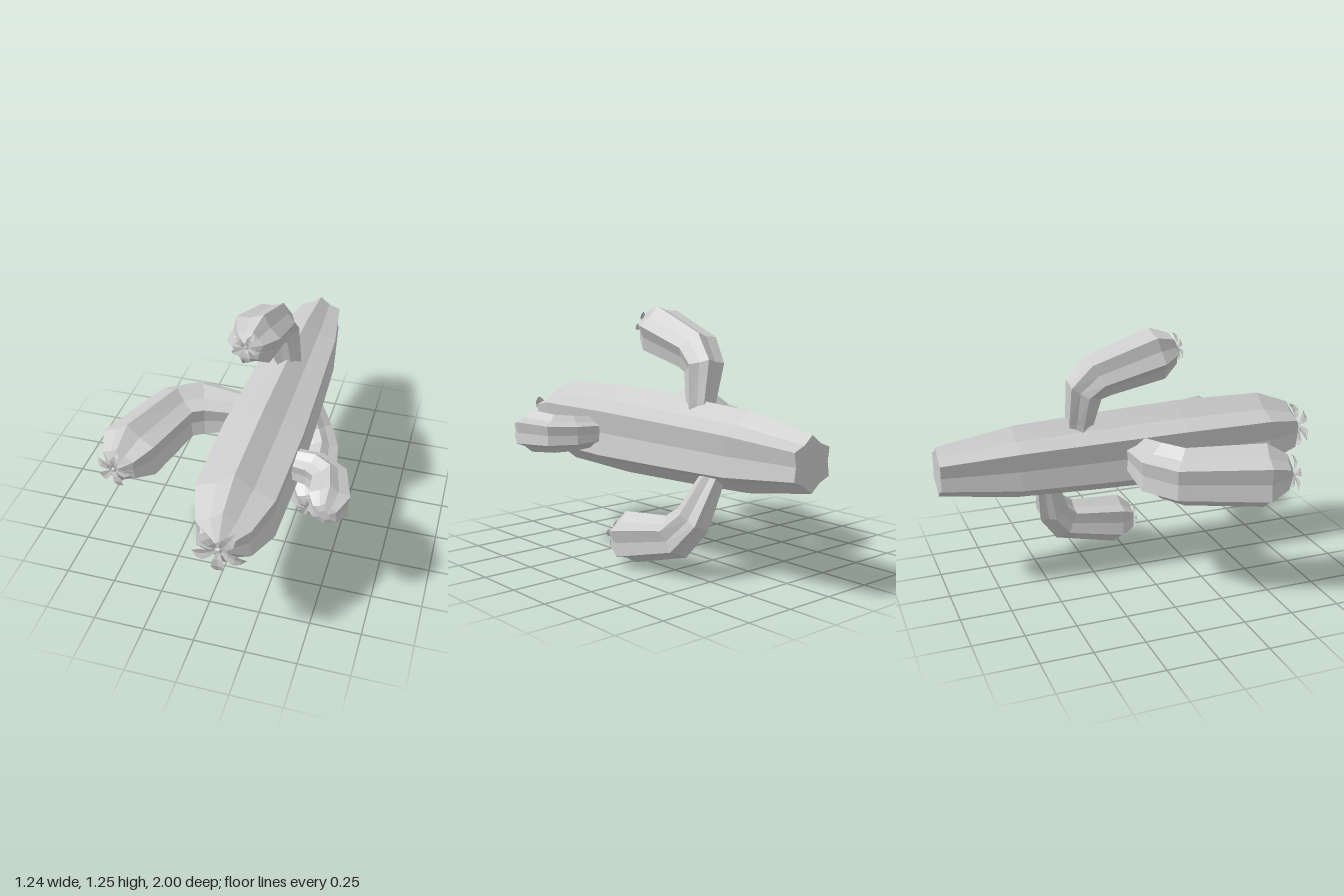
import * as THREE from 'three';

const V = (x, y, z) => new THREE.Vector3(x, y, z);
const SIDES = 12;      // six ridges and six valleys
const VALLEY = 0.79;   // valley radius relative to ridge radius

const skin = new THREE.MeshStandardMaterial({ color: 0xcccccc, flatShading: true });
const petalSkin = new THREE.MeshStandardMaterial({ color: 0xcccccc, flatShading: true, side: THREE.DoubleSide });

// Direction of the path at ring i, averaged from its neighbouring segments
function tangentAt(points, i) {
  const t = V(0, 0, 0);
  if (i > 0) t.add(points[i].clone().sub(points[i - 1]).normalize());
  if (i < points.length - 1) t.add(points[i + 1].clone().sub(points[i]).normalize());
  return t.normalize();
}

// Fluted stem: star-shaped rings [x, y, z, radius] along a path, ridge 0 along `ridge`
function stem(name, rings, ridge) {
  const points = rings.map(([x, y, z]) => V(x, y, z));
  const pos = [], index = [];
  rings.forEach(([, , , r], i) => {
    const t = tangentAt(points, i);
    const n = ridge.clone().addScaledVector(t, -ridge.dot(t)).normalize();
    const b = t.clone().cross(n);
    for (let k = 0; k < SIDES; k++) {
      const a = (k / SIDES) * Math.PI * 2;
      const rad = r * (k % 2 ? VALLEY : 1);
      const p = points[i].clone().addScaledVector(n, rad * Math.cos(a)).addScaledVector(b, rad * Math.sin(a));
      pos.push(p.x, p.y, p.z);
    }
  });
  const last = rings.length - 1, c0 = pos.length / 3, c1 = c0 + 1;
  pos.push(...points[0].toArray(), ...points[last].toArray());
  for (let k = 0; k < SIDES; k++) {
    const m = (k + 1) % SIDES;
    for (let i = 0; i < last; i++) {
      const a = i * SIDES + k, b = i * SIDES + m;
      index.push(a, b, b + SIDES, a, b + SIDES, a + SIDES);
    }
    index.push(c0, m, k, c1, last * SIDES + k, last * SIDES + m); // end caps
  }
  const g = new THREE.BufferGeometry();
  g.setAttribute('position', new THREE.Float32BufferAttribute(pos, 3));
  g.setIndex(index);
  const flat = g.toNonIndexed();
  flat.computeVertexNormals();
  const mesh = new THREE.Mesh(flat, skin);
  mesh.name = name;
  return mesh;
}

// Leaf-shaped petal of unit length along +x, creased and curling backward at the tip
function petalGeometry() {
  const stations = [[0.08, 0.06, 0], [0.35, 0.17, 0.1], [0.62, 0.23, 0.12], [0.85, 0.14, 0.06], [1, 0.01, -0.06]];
  const pos = [], index = [];
  stations.forEach(([x, w, z], i) => {
    pos.push(x, -w, z + w * 0.2, x, 0, z, x, w, z + w * 0.2);
    if (!i) return;
    for (let k = 0; k < 2; k++) {
      const a = (i - 1) * 3 + k, b = a + 3;
      index.push(a, b, b + 1, a, b + 1, a + 1);
    }
  });
  const g = new THREE.BufferGeometry();
  g.setAttribute('position', new THREE.Float32BufferAttribute(pos, 3));
  g.setIndex(index);
  g.computeVertexNormals();
  return g;
}

// Five-petalled flower with a small pentagonal heart, facing `dir`
function flower(name, at, dir, size, turn) {
  const group = new THREE.Group();
  group.name = name;
  const geo = petalGeometry();
  for (let k = 0; k < 5; k++) {
    const petal = new THREE.Mesh(geo, petalSkin);
    petal.name = 'petal';
    petal.rotation.z = THREE.MathUtils.degToRad(turn + 72 * k);
    group.add(petal);
  }
  const heart = new THREE.Mesh(new THREE.CylinderGeometry(0.1, 0.16, 0.16, 5), skin);
  heart.name = 'flowerHeart';
  heart.rotation.x = Math.PI / 2;
  heart.position.z = 0.04;
  group.add(heart);
  group.scale.setScalar(size);
  group.position.copy(at);
  group.quaternion.setFromUnitVectors(V(0, 0, 1), dir.clone().normalize());
  return group;
}

export function createModel() {
  const model = new THREE.Group();
  model.name = 'cactus';
  const up = V(0, 1, 0);

  // Trunk lying along z, narrow at the back and rounded at the front
  const trunk = [[-1, 0.128], [-0.62, 0.19], [-0.2, 0.21], [0.25, 0.226], [0.73, 0.216], [0.91, 0.148], [0.975, 0.04]];
  model.add(stem('trunk', trunk.map(([z, r]) => [0.13, 0.616, z, r]), up));
  model.add(flower('trunkFlower', V(0.13, 0.614, 0.983), V(0, 0, 1), 0.132, -90));

  // Wide arm on the right side
  model.add(stem('rightArm', [
    [0.06, 0.616, 0.0, 0.09], [-0.05, 0.616, 0.012, 0.108], [-0.245, 0.616, 0.027, 0.146],
    [-0.36, 0.616, 0.1, 0.148], [-0.48, 0.616, 0.47, 0.165], [-0.493, 0.616, 0.573, 0.1], [-0.503, 0.613, 0.603, 0.03],
  ], up));
  model.add(flower('rightArmFlower', V(-0.506, 0.612, 0.607), V(-0.12, 0, 1), 0.1, 5));

  // Arm rising from the top
  model.add(stem('topArm', [
    [0.125, 0.7, -0.28, 0.065], [0.11, 0.8, -0.275, 0.075], [0.075, 0.97, -0.262, 0.1],
    [0.055, 1.04, -0.19, 0.115], [0.037, 1.13, 0.11, 0.134], [0.034, 1.147, 0.195, 0.08], [0.033, 1.15, 0.213, 0.025],
  ], V(0.98, 0.2, 0)));
  model.add(flower('topArmFlower', V(0.033, 1.15, 0.217), V(0, 0.12, 1), 0.078, -8));

  // Arm hanging from the underside
  model.add(stem('bottomArm', [
    [0.155, 0.55, -0.455, 0.05], [0.18, 0.48, -0.44, 0.06], [0.26, 0.28, -0.39, 0.092],
    [0.3, 0.19, -0.315, 0.11], [0.33, 0.132, -0.01, 0.132], [0.335, 0.126, 0.068, 0.08], [0.336, 0.125, 0.083, 0.025],
  ], V(0.92, 0.39, 0)));
  model.add(flower('bottomArmFlower', V(0.336, 0.124, 0.087), V(0, -0.08, 1), 0.075, 20));

  // Short arm on the left side, without a flower
  model.add(stem('leftArm', [
    [0.2, 0.612, 0.32, 0.07], [0.31, 0.612, 0.33, 0.08], [0.408, 0.612, 0.345, 0.09],
    [0.49, 0.612, 0.405, 0.098], [0.523, 0.612, 0.562, 0.11], [0.521, 0.612, 0.636, 0.064], [0.52, 0.612, 0.645, 0.03],
  ], up));

  return model;
}
